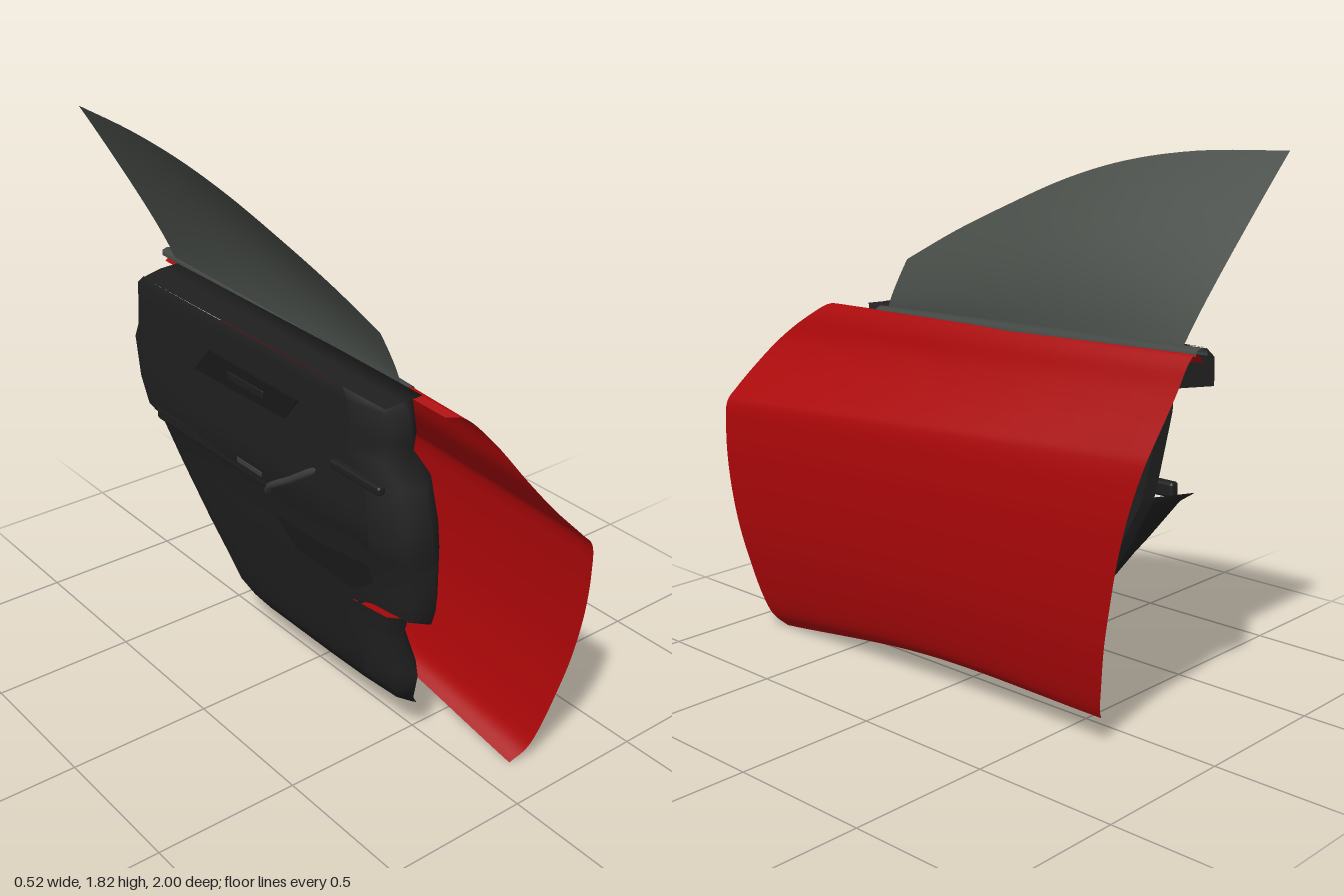
import * as THREE from 'three';
import { RoundedBoxGeometry } from 'three/addons/geometries/RoundedBoxGeometry.js';

const V = (p) => new THREE.Vector3(p[0], p[1], p[2]);
const lerp = THREE.MathUtils.lerp;

const mat = (name, color, side = THREE.DoubleSide) => {
  const m = new THREE.MeshStandardMaterial({ color, side });
  m.name = name;
  return m;
};

// Surface through a grid of points (rows of Vector3 of equal length)
function gridSurface(rows) {
  const n = rows[0].length, pos = [], idx = [];
  rows.forEach((r) => r.forEach((p) => pos.push(p.x, p.y, p.z)));
  for (let i = 0; i < rows.length - 1; i++) {
    for (let j = 0; j < n - 1; j++) {
      const a = i * n + j, b = a + n;
      idx.push(a, b, a + 1, b, b + 1, a + 1);
    }
  }
  const g = new THREE.BufferGeometry();
  g.setAttribute('position', new THREE.Float32BufferAttribute(pos, 3));
  g.setIndex(idx);
  g.computeVertexNormals();
  return g;
}

// Smooth loft: each section is splined, then matching points are splined across
function loft(sections, along, across) {
  const fine = sections.map((s) => new THREE.CatmullRomCurve3(s.map(V)).getPoints(across));
  const columns = fine[0].map((_, j) => new THREE.CatmullRomCurve3(fine.map((s) => s[j])).getPoints(along));
  return gridSurface(columns);
}

export function createModel() {
  const red = mat('red paint', 0xac0709);
  const tint = mat('tinted glass', 0x484d48);
  const seal = mat('grey seal', 0x434845);
  const black = mat('black trim', 0x1f1f1f, THREE.FrontSide);
  const dark = mat('dark recess', 0x191919);
  const grey = mat('grey handle', 0x3c3c3c);

  const door = new THREE.Group();
  door.name = 'door';
  const add = (name, geo, material, parent = door) => {
    const m = new THREE.Mesh(geo, material);
    m.name = name;
    parent.add(m);
    return m;
  };

  // Outer skin: front edge, middle and rear edge sections, top to bottom
  const front = [[-0.02, 1.205, 0.62], [0, 1.22, 0.69], [0.03, 1.17, 0.78], [0.06, 1.08, 0.9], [0.11, 1.0, 0.96],
    [0.2, 0.9, 0.995], [0.24, 0.855, 1], [0.254, 0.75, 0.995], [0.258, 0.6, 0.98], [0.249, 0.42, 0.95],
    [0.229, 0.28, 0.92], [0.193, 0.12, 0.885], [0.165, 0.05, 0.865], [0.12, 0.002, 0.84]];
  const rear = [[0, 1.225, -0.91], [0.04, 1.26, -0.91], [0.07, 1.23, -0.905], [0.1, 1.16, -0.895], [0.135, 1.09, -0.885],
    [0.18, 1.0, -0.87], [0.2, 0.95, -0.86], [0.218, 0.82, -0.825], [0.222, 0.65, -0.785], [0.215, 0.5, -0.755],
    [0.2, 0.36, -0.725], [0.172, 0.21, -0.695], [0.15, 0.13, -0.675], [0.136, 0.1, -0.67]];
  const middle = front.map((f, i) => {
    const r = rear[i], t = i / (front.length - 1);
    return [(f[0] + r[0]) / 2 + 0.006, (f[1] + r[1]) / 2 + 0.045 * t ** 3, (f[2] + r[2]) / 2];
  });
  add('outerSkin', loft([front, middle, rear], 24, 65), red);

  // Window: leans inward with a gentle curve
  const topEdge = new THREE.CatmullRomCurve3([[0, 1.4, 0.37], [0, 1.51, 0.18], [0, 1.6, 0], [0, 1.7, -0.22],
    [0, 1.765, -0.43], [0, 1.805, -0.68], [0, 1.82, -1]].map(V)).getPoints(30);
  const glassRows = topEdge.map((t, i) => {
    const u = i / 30, row = [];
    for (let k = 0; k <= 12; k++) {
      const y = lerp(lerp(1.235, 1.265, u), t.y, k / 12);
      const x = -0.02 + 0.012 * u * (1 - k / 12) - 0.24 * Math.max(0, (y - 1.25) / 0.57) ** 1.3
        + (0.024 * Math.sin(Math.PI * u) - 0.008 * u) * Math.sin(Math.PI * k / 12);
      row.push(new THREE.Vector3(x, y, lerp(lerp(0.42, -0.83, u), t.z, k / 12)));
    }
    return row;
  });
  add('windowGlass', gridSurface(glassRows), tint);

  // Belt seal along the sill
  const sealSection = (x0, x1, y, z) => [[x0, y - 0.02, z], [x0, y, z], [lerp(x0, x1, 0.4), y + 0.006, z],
    [x1, y, z], [x1 + 0.004, y - 0.016, z]].map(V);
  add('beltSeal', gridSurface([sealSection(-0.025, 0.008, 1.232, 0.45), sealSection(-0.018, 0.036, 1.25, -0.2),
    sealSection(-0.008, 0.044, 1.268, -0.915)]), seal);

  // Inner trim: height, depth, rear strip end, rear face end and front end of each row
  const trim = new THREE.Group();
  trim.name = 'innerTrim';
  door.add(trim);
  const rows = [[1.235, -0.165, -0.77, -0.81, 0.52], [1.21, -0.178, -0.77, -0.83, 0.56],
    [1.12, -0.182, -0.765, -0.83, 0.58], [1.05, -0.187, -0.76, -0.83, 0.57], [1.0, -0.19, -0.75, -0.85, 0.65],
    [0.86, -0.2, -0.72, -0.81, 0.69], [0.77, -0.202, -0.7, -0.76, 0.7], [0.74, -0.18, -0.69, -0.72, 0.7],
    [0.6, -0.17, -0.62, -0.61, 0.7], [0.54, -0.165, -0.58, -0.56, 0.68], [0.5, -0.16, -0.56, -0.53, 0.57],
    [0.41, -0.15, -0.5, -0.46, 0.54], [0.3, -0.135, -0.42, -0.37, 0.61], [0.22, -0.124, -0.36, -0.31, 0.59],
    [0.17, -0.1, -0.3, -0.26, 0.57], [0.14, -0.03, -0.25, -0.23, 0.55]];
  const sections = rows.map(([y, x, z0, zFace, z1]) => [
    [-0.03, y, z0 + 0.02], [lerp(-0.03, x, 0.2), y, z0], [lerp(-0.03, x, 0.93), y, zFace], [x, y, zFace + 0.06],
    [x - 0.003, y, -0.15], [x - 0.003, y, 0.2], [x, y, z1 - 0.2], [lerp(-0.03, x, 0.85), y, z1 - 0.05],
    [lerp(-0.03, x, 0.5), y, z1], [-0.03, y, z1 - 0.07]].map(V));
  const piece = (name, r0, r1, c0, c1) =>
    add(name, gridSurface(sections.slice(r0, r1 + 1).map((s) => s.slice(c0, c1 + 1))), black, trim);
  piece('trimFace', 0, 15, 2, 6);
  // Rear strip stands free of the face between the top corner and the armrest
  piece('rearStrip', 0, 15, 0, 1);
  piece('rearTopCorner', 0, 2, 1, 2);
  piece('rearWall', 6, 15, 1, 2);
  // Front return, split by a slot with a recessed back
  piece('upperFrontReturn', 0, 9, 6, 9);
  piece('lowerFrontReturn', 10, 15, 6, 9);
  add('slotBack', gridSurface([0.55, 0.49].map((y) => [[-0.16, y, 0.4], [-0.03, y, 0.4]].map(V))), black, trim);
  // Backing that faces the outer skin
  add('backing', gridSurface(sections.map((s) => [s[9], s[0]])), black, trim);

  // Shelf joining the trim to the belt seal
  add('topShelf', gridSurface([[-0.8, 0.016], [0.1, 0.009], [0.52, 0]].map(([z, h]) => [
    [-0.165, 1.235, z], [-0.09, 1.235 + h, z], [-0.02, 1.238 + h, z], [-0.02, 1.18, z]].map(V))), black, trim);

  // Plate outlined in the (z, y) plane, standing on the trim face
  const plate = (name, pts, x, material) => {
    const s = new THREE.Shape(pts.map(([z, y]) => new THREE.Vector2(z, y)));
    const g = new THREE.ExtrudeGeometry(s, { depth: 0.008, bevelEnabled: false });
    g.rotateY(-Math.PI / 2).translate(x, 0, 0);
    return add(name, g, material, trim);
  };
  plate('leverRecess', [[-0.45, 1.02], [-0.36, 1.12], [0.13, 1.12], [0.06, 1.03]], -0.184, dark);
  plate('doorPocket', [[-0.1, 0.7], [0.1, 0.56], [0.4, 0.56], [0.5, 0.63], [0.45, 0.7]], -0.168, dark);

  const box = (name, w, h, d, x, y, z, material) => {
    const m = add(name, new RoundedBoxGeometry(w, h, d, 2, Math.min(w, h, d) * 0.3), material, trim);
    m.position.set(x, y, z);
  };
  box('releaseLever', 0.012, 0.03, 0.2, -0.19, 1.07, -0.15, black);
  box('armrest', 0.036, 0.05, 0.68, -0.186, 0.765, -0.35, black);
  box('switchPlate', 0.01, 0.02, 0.14, -0.202, 0.785, -0.12, grey);
  box('frontLever', 0.03, 0.03, 0.24, -0.202, 0.99, 0.44, black);

  // Diagonal pull handle
  const pull = new THREE.CatmullRomCurve3([[-0.18, 0.72, -0.05], [-0.198, 0.76, -0.01], [-0.202, 0.83, 0.1],
    [-0.198, 0.9, 0.2], [-0.18, 0.93, 0.24]].map(V));
  add('pullHandle', new THREE.TubeGeometry(pull, 20, 0.013, 8), grey, trim);

  return door;
}
